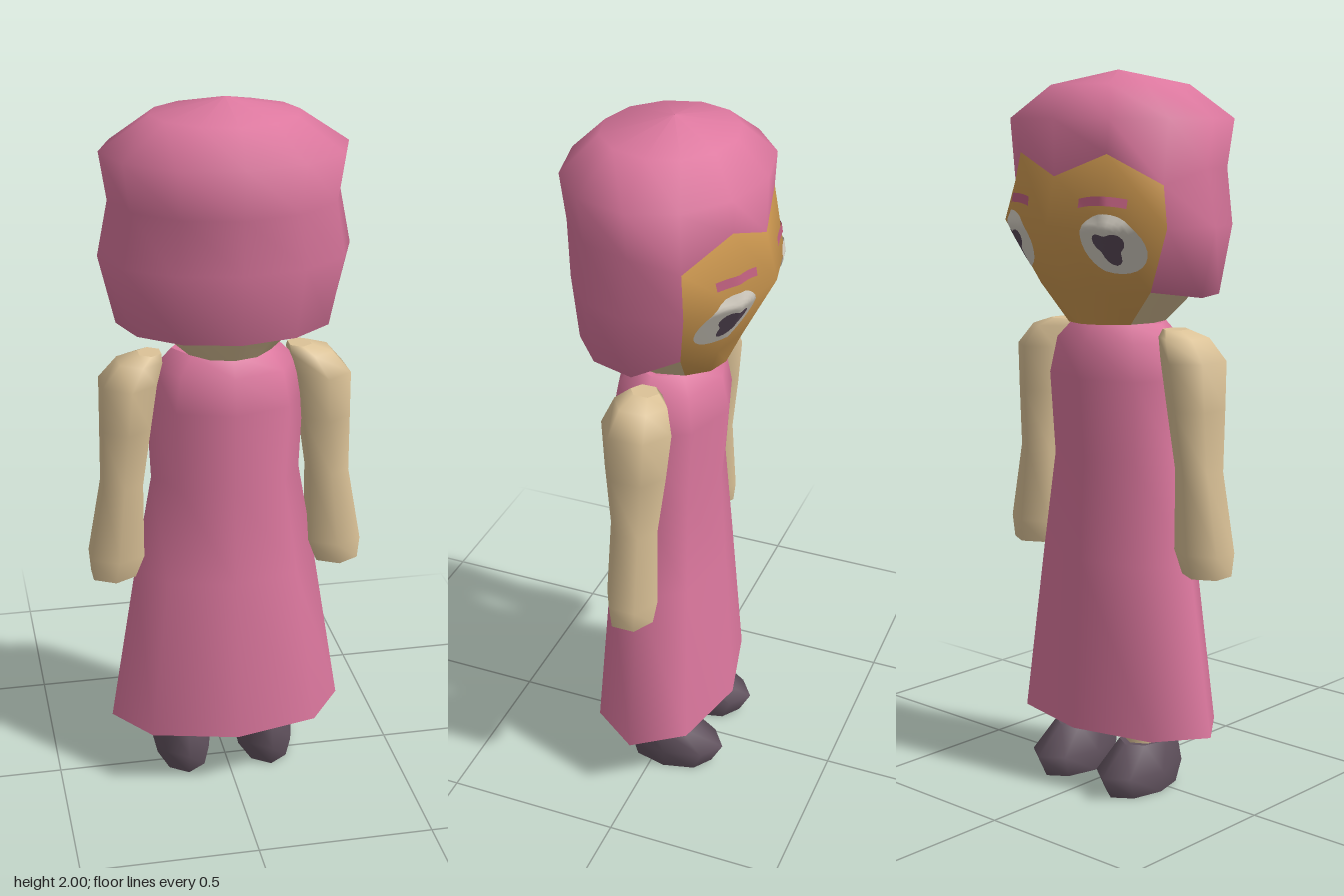
import * as THREE from 'three';

const mat = (name, color, side = THREE.FrontSide) => {
  const m = new THREE.MeshStandardMaterial({ color, side });
  m.name = name;
  return m;
};

// Skins a list of closed rings (bottom to top); keep(row, col) chooses the quads.
function loft(rings, keep = () => true) {
  const n = rings[0].length, index = [];
  for (let i = 0; i < rings.length - 1; i++) {
    for (let j = 0; j < n; j++) {
      if (!keep(i, j)) continue;
      const a = i * n + j, b = i * n + (j + 1) % n;
      index.push(a, b, a + n, b, b + n, a + n);
    }
  }
  const geo = new THREE.BufferGeometry();
  geo.setAttribute('position', new THREE.Float32BufferAttribute(rings.flat(2), 3));
  geo.setIndex(index);
  geo.computeVertexNormals();
  return geo;
}

// Flat lid over one ring.
function lid(ring, up) {
  const n = ring.length, index = [];
  for (let j = 1; j < n - 1; j++) index.push(0, up ? j : j + 1, up ? j + 1 : j);
  const geo = new THREE.BufferGeometry();
  geo.setAttribute('position', new THREE.Float32BufferAttribute(ring.flat(), 3));
  geo.setIndex(index);
  geo.computeVertexNormals();
  return geo;
}

// Elliptical ring with its own back (+z) and front (-z) depth.
function ring(n, cx, y, rx, zBack, zFront, turn = 0) {
  return Array.from({ length: n }, (_, j) => {
    const a = ((j + turn) / n) * Math.PI * 2, c = Math.cos(a);
    const mid = (zBack + zFront) / 2, half = (zBack - zFront) / 2;
    return [cx + Math.sin(a) * rx, y, mid + c * half];
  });
}

export function createModel() {
  const group = new THREE.Group();
  const pink = mat('pink', 0xdd789f, THREE.DoubleSide);
  const skin = mat('skin', 0xdcc398);
  const faceTan = mat('faceTan', 0xd29c52);
  const shoeGrey = mat('shoeGrey', 0x62535f);
  const eyeWhite = mat('eyeWhite', 0xd8d2c6, THREE.DoubleSide);
  const pupilGrey = mat('pupilGrey', 0x5c4c5b, THREE.DoubleSide);
  const browPink = mat('browPink', 0xc0607f, THREE.DoubleSide);

  const add = (name, geo, material, parent = group) => {
    const mesh = new THREE.Mesh(geo, material);
    mesh.name = name;
    parent.add(mesh);
    return mesh;
  };
  // A lofted body with lids at both ends.
  const solid = (name, rings, material) => {
    const part = new THREE.Group();
    part.name = name;
    add(name + 'Side', loft(rings), material, part);
    add(name + 'Bottom', lid(rings[0], false), material, part);
    add(name + 'Top', lid(rings[rings.length - 1], true), material, part);
    group.add(part);
  };

  // Dress: eight-sided, flared to the hem
  solid('dress', [
    [0.18, 0.34, 0.2, -0.19], [0.66, 0.262, 0.17, -0.16], [0.94, 0.212, 0.15, -0.142],
    [1.17, 0.222, 0.168, -0.16], [1.27, 0.2, 0.148, -0.14], [1.32, 0.15, 0.11, -0.1],
  ].map(([y, rx, zb, zf]) => ring(8, 0, y, rx, zb, zf)), pink);

  // Arms, legs and shoes, mirrored
  for (const s of [1, -1]) {
    const side = s > 0 ? 'left' : 'right';
    solid(side + 'Arm', [
      [0.645, 0.325, 0.06, 0.065], [0.71, 0.315, 0.075, 0.075], [0.93, 0.295, 0.056, 0.068],
      [1.1, 0.282, 0.066, 0.088], [1.23, 0.272, 0.074, 0.1], [1.29, 0.238, 0.058, 0.075],
      [1.31, 0.21, 0.03, 0.04],
    ].map(([y, cx, w, d]) => ring(6, s * cx, y, w / 0.866, d, -d)), skin);
    solid(side + 'Leg', [0.12, 0.5].map((y) => ring(8, s * 0.125, y, 0.06, 0.075, -0.09)), skin);
    solid(side + 'Shoe', [
      [0, 0.075, 0.085, -0.17], [0.065, 0.09, 0.106, -0.205], [0.14, 0.067, 0.088, -0.11],
    ].map(([y, rx, zb, zf]) => ring(8, s * 0.125, y, rx, zb, zf)), shoeGrey);
  }

  // Head rings: twelve columns, number 6 is the middle of the face
  const fromFace = (j) => Math.abs(j - 6);
  const headRing = (y, rx, zb, zf) => Array.from({ length: 12 }, (_, j) => {
    const a = (j * Math.PI) / 6, c = Math.cos(a);
    return [Math.sin(a) * rx, typeof y === 'function' ? y(fromFace(j)) : y, c * (c > 0 ? zb : -zf)];
  });
  const isFace = (j) => j >= 4 && j <= 7;
  const hairline = (d) => [1.72, 1.78, 1.7][d] ?? 1.74;
  const chin = headRing(1.32, 0.13, 0.14, -0.15);
  const jaw = headRing(1.415, 0.235, 0.2, -0.195);
  const cheek = headRing(1.59, 0.345, 0.255, -0.285);
  const brow = headRing(hairline, 0.315, 0.27, -0.253);
  const hem = headRing(1.4, 0.3, 0.243, -0.2);
  for (const j of [4, 8]) hem[j] = jaw[j];

  // Hair: full cap above the hairline, open in front below it
  add('hair', loft([
    jaw, hem, cheek, brow,
    headRing(1.87, 0.335, 0.285, -0.255),
    headRing(1.96, 0.2, 0.19, -0.17),
    headRing(2.0, 0.0005, 0.0005, -0.0005),
  ], (i, j) => i > 2 || !isFace(j)), pink);

  // Face, and the back of the jaw
  const face = add('face', loft([chin, jaw, cheek, brow], (i, j) => isFace(j)), faceTan);
  add('jaw', loft([chin, jaw], (i, j) => !isFace(j)), skin);
  add('chinBottom', lid(chin, false), skin);

  // Painted details: thin sheets laid on the face
  const ray = new THREE.Raycaster();
  const drape = (name, geo, material, lift) => {
    const p = geo.attributes.position;
    for (let i = 0; i < p.count; i++) {
      ray.set(new THREE.Vector3(p.getX(i), p.getY(i), -1), new THREE.Vector3(0, 0, 1));
      const hit = ray.intersectObject(face)[0];
      p.setZ(i, (hit ? hit.point.z : -0.14) - lift);
    }
    geo.computeVertexNormals();
    add(name, geo, material);
  };
  // Disc whose outline is given by a radius rule
  const disc = (cx, cy, rx, ry, rule = () => 1) => {
    const geo = new THREE.RingGeometry(0.001, 1, 28, 8);
    const p = geo.attributes.position;
    for (let i = 0; i < p.count; i++) {
      const x = p.getX(i), y = p.getY(i), k = rule(Math.atan2(y, x));
      p.setXY(i, cx + x * k * rx, cy + y * k * ry);
    }
    return geo;
  };
  // Two lobes above, a point below
  const heart = (a) => 0.82 + 0.22 * Math.cos(3 * (a + Math.PI / 2));
  for (const s of [1, -1]) {
    const side = s > 0 ? 'left' : 'right';
    drape(side + 'Eye', disc(s * 0.168, 1.547, 0.074, 0.08), eyeWhite, 0.005);
    drape(side + 'Pupil', disc(s * 0.168, 1.54, 0.038, 0.048, heart), pupilGrey, 0.009);
    const strip = new THREE.PlaneGeometry(0.125, 0.024, 12, 2);
    const p = strip.attributes.position;
    for (let i = 0; i < p.count; i++) {
      const x = p.getX(i);
      p.setXY(i, s * 0.152 + x, 1.66 + p.getY(i) - x * x * 2);
    }
    drape(side + 'Eyebrow', strip, browPink, 0.005);
  }
  return group;
}
